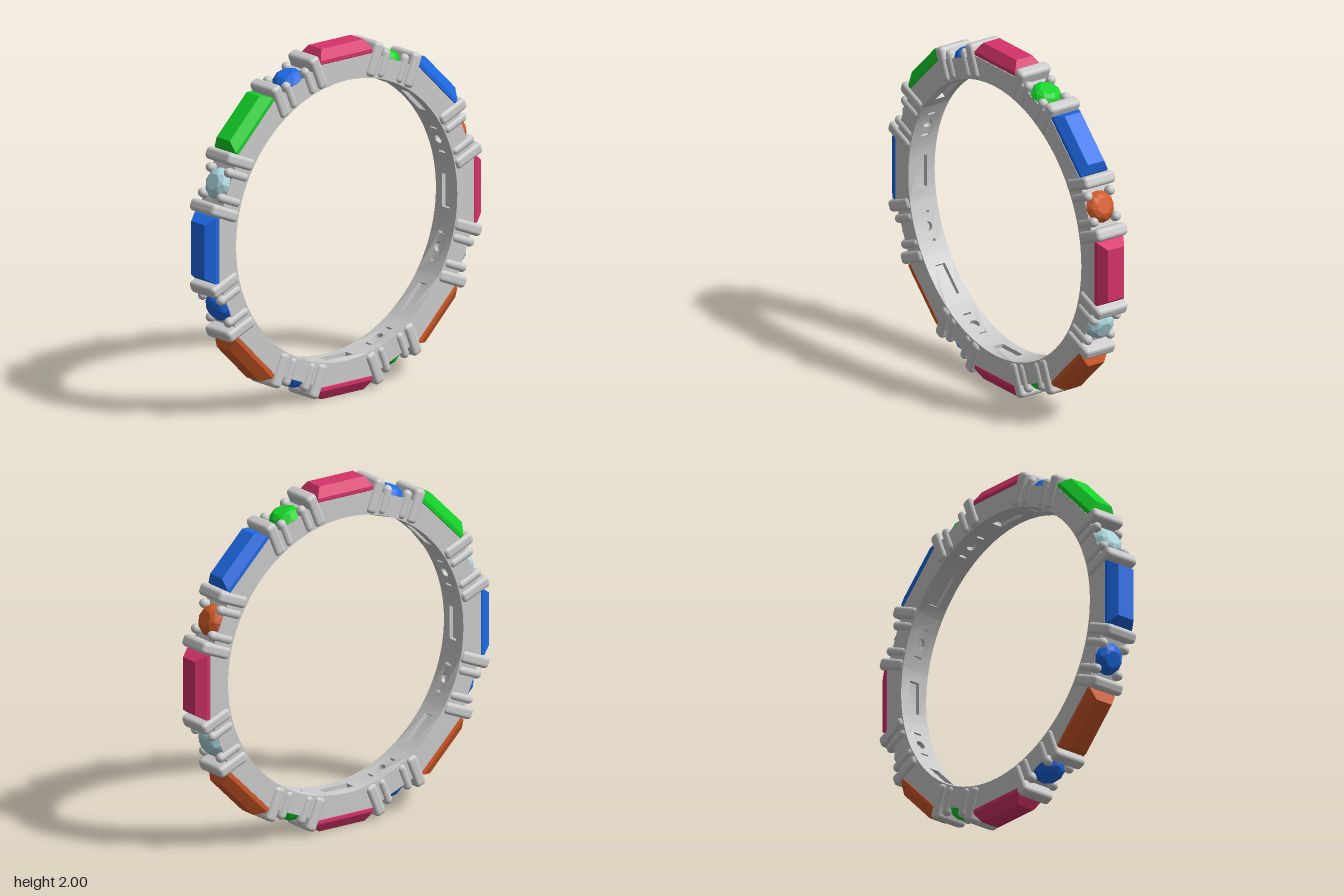
import * as THREE from 'three';
import { toCreasedNormals } from 'three/addons/utils/BufferGeometryUtils.js';
import { RoundedBoxGeometry } from 'three/addons/geometries/RoundedBoxGeometry.js';
import { ConvexGeometry } from 'three/addons/geometries/ConvexGeometry.js';

const INNER = 0.8, LINER = 0.025, APOTHEM = 0.92, HALF_Z = 0.09;
const PINK = 0xd6336a, BLUE = 0x1e6ae6, GREEN = 0x14d42a, ORANGE = 0xd25a28, ICE = 0xaed8e0;
const barColors = [PINK, BLUE, PINK, ORANGE, PINK, ORANGE, BLUE, GREEN];
const roundColors = [GREEN, ORANGE, ICE, GREEN, BLUE, BLUE, ICE, BLUE];

const V = (x, y, z) => new THREE.Vector3(x, y, z);

// Sixteen-sided outside with a round bore
function bodyGeometry() {
  const shape = new THREE.Shape();
  const R = APOTHEM / Math.cos(Math.PI / 16);
  for (let i = 0; i < 16; i++) {
    const a = (i + 0.5) * Math.PI / 8;
    shape[i ? 'lineTo' : 'moveTo'](R * Math.cos(a), R * Math.sin(a));
  }
  shape.closePath();
  shape.holes.push(new THREE.Path().absarc(0, 0, INNER + LINER, 0, Math.PI * 2, true));
  const g = new THREE.ExtrudeGeometry(shape, { depth: HALF_Z * 2, bevelEnabled: false, curveSegments: 96 });
  g.translate(0, 0, -HALF_Z);
  return toCreasedNormals(g, 0.2);
}

function rectPath(cx, w, h) {
  const p = new THREE.Path();
  p.moveTo(cx - w, -h).lineTo(cx - w, h).lineTo(cx + w, h).lineTo(cx + w, -h).closePath();
  return p;
}

// Flat pierced panel, bent round the inside of the ring
function linerGeometry(holes) {
  const half = INNER * Math.PI / 16, n = 10, pts = [];
  for (let i = 0; i <= n; i++) pts.push(new THREE.Vector2(-half + 2 * half * i / n, -HALF_Z));
  for (let i = n; i >= 0; i--) pts.push(new THREE.Vector2(-half + 2 * half * i / n, HALF_Z));
  const shape = new THREE.Shape(pts);
  shape.holes.push(...holes);
  const g = new THREE.ExtrudeGeometry(shape, { depth: LINER, bevelEnabled: false, curveSegments: 12 });
  const p = g.attributes.position;
  for (let i = 0; i < p.count; i++) {
    const a = p.getX(i) / INNER, r = INNER + p.getZ(i), z = -p.getY(i);
    p.setXYZ(i, r * Math.sin(a), r * Math.cos(a), z);
  }
  return toCreasedNormals(g, 0.5);
}

// Step-cut stone: stacked rectangles of [height, half length, half width]
function baguetteGeometry() {
  const pts = [];
  for (const [y, x, z] of [[0.9, 0.16, 0.06], [0.924, 0.188, 0.09], [0.945, 0.188, 0.09], [1, 0.153, 0.055]])
    for (const sx of [-1, 1]) for (const sz of [-1, 1]) pts.push(V(sx * x, y, sz * z));
  return new ConvexGeometry(pts);
}

// Brilliant-cut stone: rings of [height, radius, sides, twist]
function brilliantGeometry() {
  const pts = [V(0, 0.85, 0)];
  for (const [y, r, n, twist] of [[0.912, 0.09, 16, 0], [0.922, 0.09, 16, 0], [0.951, 0.073, 8, 0], [0.966, 0.047, 8, 0.5]])
    for (let i = 0; i < n; i++) {
      const a = (i + twist) * Math.PI * 2 / n;
      pts.push(V(r * Math.cos(a), y, r * Math.sin(a)));
    }
  return new ConvexGeometry(pts);
}

export function createModel() {
  const model = new THREE.Group();
  model.name = 'ring';
  const metal = new THREE.MeshStandardMaterial({ color: 0xcccccc });
  const gemMaterials = {};
  const gemMaterial = c => gemMaterials[c] ??= new THREE.MeshStandardMaterial({ color: c, flatShading: true });

  function add(parent, name, geometry, material, x = 0, y = 0, z = 0) {
    const m = new THREE.Mesh(geometry, material);
    m.name = name;
    m.position.set(x, y, z);
    parent.add(m);
  }

  // Group whose +y points outward at a clockwise angle from the top
  function station(name, angle) {
    const g = new THREE.Group();
    g.name = name;
    g.position.y = 1;
    g.rotation.z = -angle;
    model.add(g);
    return g;
  }

  const windowLiner = linerGeometry([rectPath(0, 0.095, 0.032)]);
  const drilledLiner = linerGeometry([
    new THREE.Path().absarc(0, 0, 0.027, 0, Math.PI * 2, true),
    rectPath(-0.08, 0.006, 0.025), rectPath(0.08, 0.006, 0.025)]);
  const baguette = baguetteGeometry(), brilliant = brilliantGeometry();
  const endBar = new RoundedBoxGeometry(0.07, 0.2, 0.21, 4, 0.024);
  const prong = new THREE.CapsuleGeometry(0.027, 0.115, 6, 16);

  add(model, 'band', bodyGeometry(), metal, 0, 1, 0);

  for (let i = 0; i < 8; i++) {
    const long = station('baguetteSetting', i * Math.PI / 4);
    add(long, 'windowLiner', windowLiner, metal);
    add(long, 'baguetteStone', baguette, gemMaterial(barColors[i]));

    const round = station('roundSetting', (i + 0.5) * Math.PI / 4);
    add(round, 'drilledLiner', drilledLiner, metal);
    add(round, 'roundStone', brilliant, gemMaterial(roundColors[i]));
    for (const s of [-1, 1]) {
      add(round, 'endBar', endBar, metal, s * 0.148, 0.892, 0);
      for (const t of [-1, 1]) add(round, 'prong', prong, metal, s * 0.073, 0.884, t * 0.076);
    }
  }
  return model;
}
